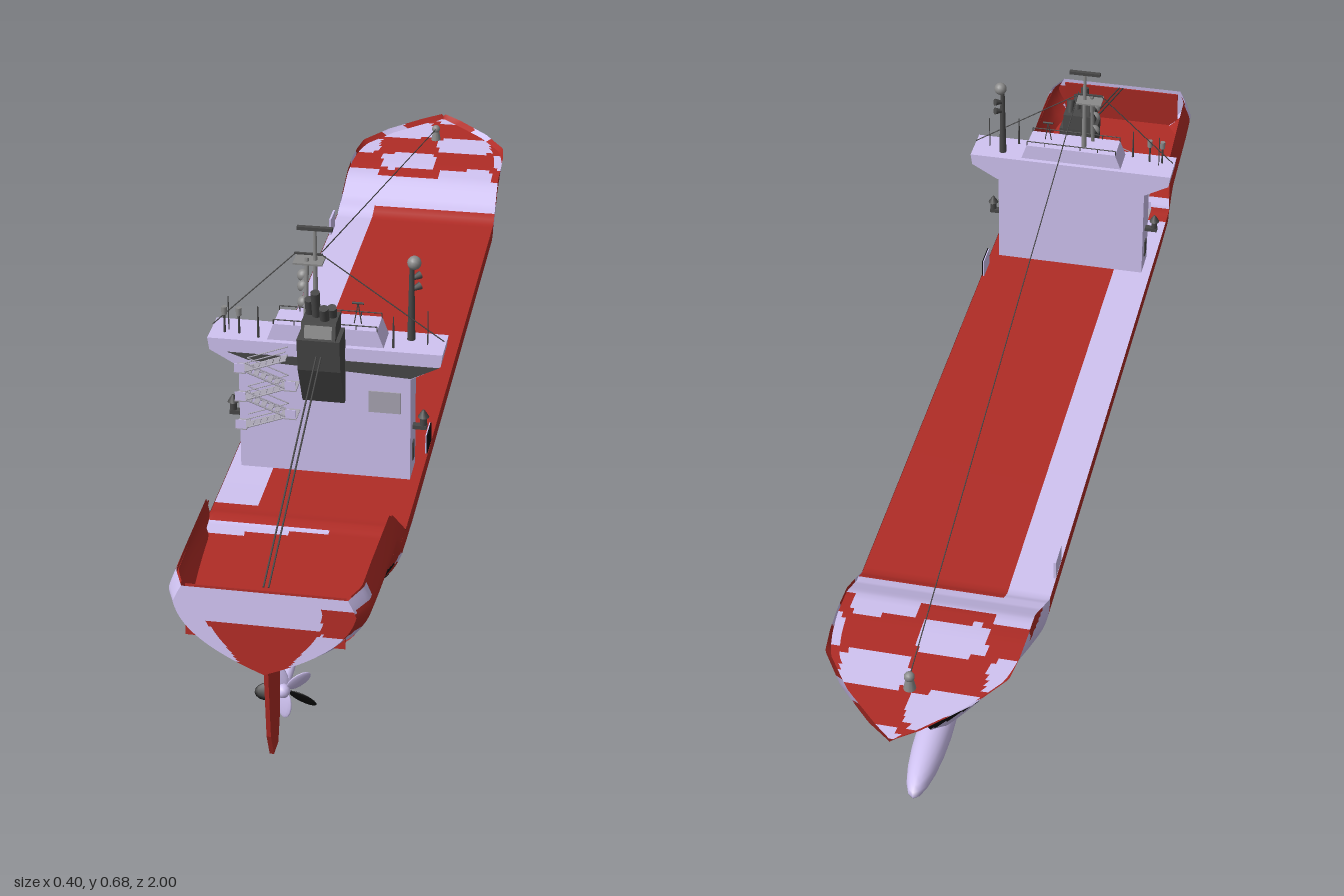
import * as THREE from 'three';

const mat = (color) => new THREE.MeshStandardMaterial({ color, side: THREE.DoubleSide });
const PAINT = [mat(0xd0c3f2), mat(0xb02c26), mat(0x0c0c0c)]; // lavender, red, black
const LAV = PAINT[0], RED = PAINT[1], BLACK = PAINT[2], DARK = mat(0x484848), GREY = mat(0x8a8a8a), TAN = mat(0xaaa6b4);

// Hull stations: z, keel height, gunwale height, half beam, bilge fullness, tumblehome
const STATIONS = [
  [1.0, 0.195, 0.335, 0.145, 2.5, 0.016], [0.95, 0.165, 0.335, 0.163, 2.5, 0.016],
  [0.87, 0.14, 0.333, 0.165, 2.5, 0.016], [0.71, 0.088, 0.322, 0.165, 2.5, 0.012],
  [0.64, 0.062, 0.252, 0.165, 2.4, 0], [0.54, 0.037, 0.25, 0.165, 2.4, 0],
  [-0.57, 0.035, 0.25, 0.165, 2.4, 0], [-0.67, 0.035, 0.305, 0.165, 1.8, 0.004],
  [-0.73, 0.05, 0.31, 0.165, 1.4, 0.004], [-0.78, 0.12, 0.31, 0.163, 1.15, 0.004],
  [-0.83, 0.215, 0.31, 0.155, 1.1, 0.002], [-0.9, 0.25, 0.31, 0.108, 1.1, 0],
  [-0.97, 0.288, 0.31, 0.042, 1, 0], [-1, 0.306, 0.311, 0.004, 1, 0],
];
function station(z) {
  let i = 0;
  while (i < STATIONS.length - 2 && z < STATIONS[i + 1][0]) i++;
  const a = STATIONS[i], b = STATIONS[i + 1], f = (z - a[0]) / (b[0] - a[0]);
  return a.map((v, k) => v + (b[k] - v) * f);
}
const breadth = ([, , , beam, p, tum], t) => beam * (1 - (1 - t) ** p) - tum * Math.max(0, (t - 0.8) / 0.2);
// Point on the shell; v runs from starboard gunwale (-1) over the keel to port (1), the transom leans in slightly
function shellPoint(z, v) {
  const s = station(z), t = Math.abs(v);
  return [Math.sign(v) * breadth(s, t), s[1] + (s[2] - s[1]) * t, z - Math.max(0, z - 0.9) * 0.15 * t];
}

// Camouflage colour of the shell
function shellPaint(x, y, z) {
  if (z > 0.93) {
    if (y > 0.195 && y < 0.277 && Math.abs(x) < 0.025 + (y - 0.195) * 0.8) return 1;
    if (x > 0.09 && y > 0.27 && y < 0.315) return 1;
    return y < 0.195 && (x > 0.1 || (x < -0.06 && x > -0.14)) ? 2 : 0;
  }
  if (z > 0.66) {
    if (y > 0.2 + (z - 0.66) * 0.1) return z > 0.82 && z < 0.9 && y < 0.25 ? 0 : 1;
    return z > 0.8 && Math.abs(x) < 0.06 ? 0 : 2;
  }
  if (z > -0.57) {
    if (y > 0.21) return 1;
    if (y > 0.185 + z * 0.01) return 0;
    if (y > 0.165) return 1;
    const low = z > 0.58 ? 0 : z > -0.28 ? 0.11 : 0.11 + (z + 0.28) * 0.3;
    return y > low && y < 0.165 + Math.min(0, z + 0.35) * 0.4 ? 2 : 0;
  }
  if (y > 0.255 + (z + 0.75) * 0.15) return Math.sin(z * 38 + y * 25) > -0.6 ? 1 : 0;
  if (z < -0.7 && y > 0.09 && y < 0.2 && Math.abs(z + 0.77) < (y - 0.06) * 0.4) return 2;
  return z < -0.78 && y < 0.235 ? 1 : 0;
}
function deckPaint(x, y, z) {
  if (z < -0.67) return Math.sin(x * 30 + z * 34) + Math.sin(x * 22 - z * 41) > -0.1 ? 1 : 0;
  if (z < -0.59) return 0;
  if (z > 0.7) return 1;
  if (z > 0.65) return x < 0.1 - (z - 0.65) * 5 ? 0 : 1;
  return x < -0.09 && z < 0.6 ? 0 : 1;
}

// Surface from a grid of points, split into one mesh per paint colour
function paintedGrid(name, nu, nv, point, paint) {
  const pos = [], index = [[], [], []];
  for (let i = 0; i <= nu; i++) for (let j = 0; j <= nv; j++) pos.push(...point(i / nu, j / nv));
  for (let i = 0; i < nu; i++) for (let j = 0; j < nv; j++) {
    const a = i * (nv + 1) + j, d = a + nv + 2;
    const mid = [0, 1, 2].map((k) => (pos[a * 3 + k] + pos[d * 3 + k]) / 2);
    index[paint(...mid)].push(a, a + 1, d, a, d, d - 1);
  }
  const base = new THREE.BufferGeometry();
  base.setAttribute('position', new THREE.Float32BufferAttribute(pos, 3));
  base.setIndex(index.flat());
  base.computeVertexNormals();
  const group = new THREE.Group();
  group.name = name;
  index.forEach((idx, k) => {
    if (!idx.length) return;
    const g = base.clone();
    g.setIndex(idx);
    const m = new THREE.Mesh(g, PAINT[k]);
    m.name = name + ['Light', 'Red', 'Black'][k];
    group.add(m);
  });
  return group;
}

export function createModel() {
  const root = new THREE.Group();
  const add = (name, geo, material, x = 0, y = 0, z = 0) => {
    const m = new THREE.Mesh(geo, material);
    m.name = name;
    m.position.set(x, y, z);
    root.add(m);
    return m;
  };
  const box = (name, material, w, h, d, x, y, z) => add(name, new THREE.BoxGeometry(w, h, d), material, x, y, z);
  const rod = (name, a, b, r = 0.001, material = DARK, r2 = r, sides = 6) => {
    const A = new THREE.Vector3(...a), B = new THREE.Vector3(...b), dir = B.clone().sub(A);
    const m = add(name, new THREE.CylinderGeometry(r2, r, dir.length(), sides), material);
    m.position.copy(A).lerp(B, 0.5);
    m.quaternion.setFromUnitVectors(new THREE.Vector3(0, 1, 0), dir.normalize());
    return m;
  };
  const extrude = (name, pts, depth, material) => {
    const g = new THREE.ExtrudeGeometry(new THREE.Shape(pts.map((p) => new THREE.Vector2(...p))), { depth, bevelEnabled: false });
    g.translate(0, 0, -depth / 2);
    return add(name, g, material);
  };
  // Profile drawn in (z, y), extruded across x; mirrored so +z stays aft
  const sideProfile = (name, pts, width, material) => {
    const m = extrude(name, pts.map(([z, y]) => [-z, y]), width, material);
    m.geometry.rotateY(Math.PI / 2);
    return m;
  };

  // Hull shell, transom, deck and red lining of the stern bulwark
  root.add(paintedGrid('hull', 300, 64, (u, v) => shellPoint(1 - 2 * u, 1 - 2 * v), shellPaint));
  root.add(paintedGrid('transom', 30, 60, (u, v) => {
    const [x, y, z] = shellPoint(1, u);
    return [x * (2 * v - 1), y, z];
  }, shellPaint));
  root.add(paintedGrid('deck', 150, 40, (u, v) => {
    const z = 0.985 - 1.975 * u, s = station(z);
    const y = z > 0.65 ? 0.247 : s[2] - (z < -0.6 ? 0.008 : 0.002);
    return [breadth(s, Math.min(1, (y - s[1]) / (s[2] - s[1]))) * (2 * v - 1), y, z];
  }, deckPaint));
  for (const side of [-1, 1]) root.add(paintedGrid('bulwarkLining', 20, 6, (u, v) => {
    const z = 0.7 + 0.285 * u, [, keel, top] = station(z), t0 = (0.247 - keel) / (top - keel);
    const p = shellPoint(z, side * (t0 + (1 - t0) * v));
    return [p[0] * 0.975, p[1], p[2]];
  }, () => 1));
  box('transomLining', RED, 0.25, 0.086, 0.002, 0, 0.29, 0.98).rotation.x = -0.12;

  // Bulbous bow
  add('bulbousBow', new THREE.SphereGeometry(1, 20, 14).scale(0.03, 0.03, 0.15), LAV, 0, 0.058, -0.735);

  // Rudder, shaft and five-bladed propeller
  sideProfile('rudder', [[0.895, 0.16], [0.985, 0.19], [0.975, 0.06], [0.955, 0.012], [0.92, 0.01], [0.905, 0.05]], 0.007, RED);
  rod('propellerShaft', [0, 0.075, 0.7], [0, 0.066, 0.86], 0.008, LAV, 0.008, 10);
  add('propellerHub', new THREE.SphereGeometry(0.012, 12, 8), LAV, 0, 0.066, 0.86);
  for (let i = 0; i < 5; i++) {
    const blade = new THREE.SphereGeometry(1, 12, 8).scale(0.015, 0.025, 0.003).rotateY(0.55).translate(0, 0.029, 0);
    add('propellerBlade', blade, i % 2 ? BLACK : LAV, 0.005, 0.064, 0.855).rotation.z = 0.5 + i * Math.PI * 0.4;
  }

  // Accommodation tower, bridge with wings, and wheelhouse top
  box('tower', LAV, 0.294, 0.2, 0.06, 0, 0.345, 0.445);
  extrude('bridgeWings', [[-0.2, 0.492], [-0.197, 0.47], [-0.147, 0.442], [0.147, 0.442], [0.197, 0.47], [0.2, 0.492]], 0.075, LAV).position.z = 0.4375;
  extrude('wingUnderside', [[-0.165, 0.468], [0.194, 0.468], [0.147, 0.444], [-0.13, 0.456]], 0.002, DARK).position.z = 0.4755;
  extrude('wheelhouseTop', [[-0.1, 0.49], [0.1, 0.49], [0.088, 0.522], [-0.088, 0.522]], 0.056, LAV).position.z = 0.437;
  box('aftPanel', TAN, 0.055, 0.04, 0.002, 0.103, 0.395, 0.476);
  for (const z of [0.412, 0.464]) {
    rod('roofRail', [-0.088, 0.53, z], [0.088, 0.53, z]);
    for (let i = 0; i < 6; i++) rod('railPost', [-0.088 + i * 0.0352, 0.52, z], [-0.088 + i * 0.0352, 0.53, z]);
  }
  for (const s of [-1, 1]) {
    // Side ventilators, wing whips and mast stays
    box('ventArm', DARK, 0.026, 0.007, 0.012, s * 0.158, 0.337, 0.445);
    rod('ventPipe', [s * 0.165, 0.335, 0.445], [s * 0.165, 0.358, 0.445], 0.006, DARK, 0.006, 10);
    rod('ventCap', [s * 0.165, 0.356, 0.445], [s * 0.165, 0.369, 0.445], 0.01, DARK, 0.002, 10);
    rod('wingAerial', [s * 0.17, 0.49, 0.44], [s * 0.17, 0.555, 0.44]);
    rod('aerialPole', [s * 0.115, 0.49, 0.46], [s * 0.115, 0.55, 0.46], 0.0025, DARK, 0.001);
    box('sideDoor', DARK, 0.002, 0.035, 0.015, s * 0.148, 0.29, 0.445);
    rod('mastStay', [-0.033 + s * 0.022, 0.64, 0.43], [s * 0.198, 0.5, 0.44]);
  }
  for (const x of [-0.175, -0.15]) {
    rod('lampPost', [x, 0.49, 0.45], [x, 0.53, 0.45], 0.002);
    rod('lamp', [x, 0.526, 0.45], [x, 0.54, 0.45], 0.005, GREY, 0.005, 10);
  }

  // Zigzag outside stairs
  for (let i = 0; i < 5; i++) {
    const y = 0.34 + i * 0.027, s = i % 2 ? 1 : -1, xa = -0.095 + s * 0.035, xb = -0.095 - s * 0.035;
    for (const z of [0.484, 0.503]) {
      rod('stairStringer', [xa, y, z], [xb, y + 0.027, z], 0.0015, TAN);
      rod('stairHandrail', [xa, y + 0.016, z], [xb, y + 0.043, z], 0.001, TAN);
    }
    for (let k = 0; k < 6; k++) box('stairTread', TAN, 0.009, 0.0015, 0.019, xa + (xb - xa) * (k + 0.5) / 6, y + 0.027 * (k + 0.5) / 6, 0.4935);
    box('stairLanding', TAN, 0.02, 0.002, 0.035, xa + s * 0.008, y, 0.4925);
    box('landingScreen', LAV, 0.018, 0.017, 0.001, xa + s * 0.008, y + 0.009, 0.509);
  }

  // Funnel casing, tapering down into the tower, and exhaust pipes
  sideProfile('funnel', [[0.474, 0.392], [0.484, 0.392], [0.522, 0.47], [0.53, 0.53], [0.474, 0.53]], 0.072, DARK);
  sideProfile('funnelTop', [[0.474, 0.53], [0.53, 0.53], [0.522, 0.56], [0.476, 0.56]], 0.058, DARK);
  box('funnelGrille', GREY, 0.046, 0.022, 0.002, 0, 0.545, 0.527).rotation.x = -0.26;
  [[-0.02, 0.59, 0.485], [-0.008, 0.608, 0.495], [0.008, 0.585, 0.505], [0.019, 0.58, 0.49]].forEach(([x, y, z], i) =>
    rod('exhaustPipe', [x, 0.55, z], [x, y, z + 0.012], 0.008 - (i % 2) * 0.001, DARK, 0.008, 12));

  // Main mast with platform, radar bars and dishes
  rod('mainMast', [-0.022, 0.52, 0.43], [-0.022, 0.685, 0.43], 0.005, GREY, 0.003, 10);
  rod('mastBrace', [-0.035, 0.52, 0.455], [-0.035, 0.635, 0.435], 0.004, GREY);
  box('mastPlatform', GREY, 0.05, 0.003, 0.035, -0.032, 0.628, 0.43);
  box('crossTree', DARK, 0.048, 0.003, 0.004, -0.033, 0.64, 0.43);
  box('radarBar', DARK, 0.06, 0.006, 0.008, -0.022, 0.687, 0.43);
  for (const y of [0.555, 0.585, 0.605]) {
    const d = add('mastDish', new THREE.SphereGeometry(0.011, 14, 8, 0, Math.PI * 2, 0, 1.3), GREY, -0.04, y, 0.44);
    d.rotation.set(0.7, 0, 0.9);
  }

  // Side signal mast
  rod('signalMast', [0.14, 0.49, 0.425], [0.14, 0.63, 0.425], 0.007, DARK, 0.004, 10);
  add('signalDome', new THREE.SphereGeometry(0.012, 14, 10), GREY, 0.144, 0.635, 0.425);
  for (const y of [0.585, 0.605]) rod('signalHorn', [0.14, y, 0.425], [0.153, y + 0.004, 0.415], 0.003, DARK, 0.007, 10);
  for (const x of [0.045, 0.058]) rod('roofTripod', [x, 0.52, 0.44], [0.052, 0.56, 0.44]);
  rod('roofAerial', [0.042, 0.56, 0.44], [0.062, 0.56, 0.44], 0.002);

  // Long stays fore and aft, and the bow post
  rod('foreStay', [-0.01, 0.645, 0.43], [0, 0.325, -0.88]);
  for (const x of [-0.004, 0.004]) rod('aftStay', [x, 0.5, 0.52], [x, 0.336, 0.97], 0.0015);
  rod('bowPost', [0, 0.295, -0.875], [0, 0.325, -0.875], 0.012, GREY, 0.006, 10);
  add('bowPostHead', new THREE.SphereGeometry(0.009, 12, 8), GREY, 0, 0.327, -0.875);

  // Upright gunwale panels, dark outboard and light inboard
  for (const [s, z] of [[1, 0.36], [-1, -0.49]]) {
    box('panelOuter', s > 0 ? BLACK : LAV, 0.002, 0.036, 0.048, s * 0.163, 0.265, z);
    box('panelInner', LAV, 0.002, 0.036, 0.048, s * 0.161, 0.265, z);
  }
  return root;
}
